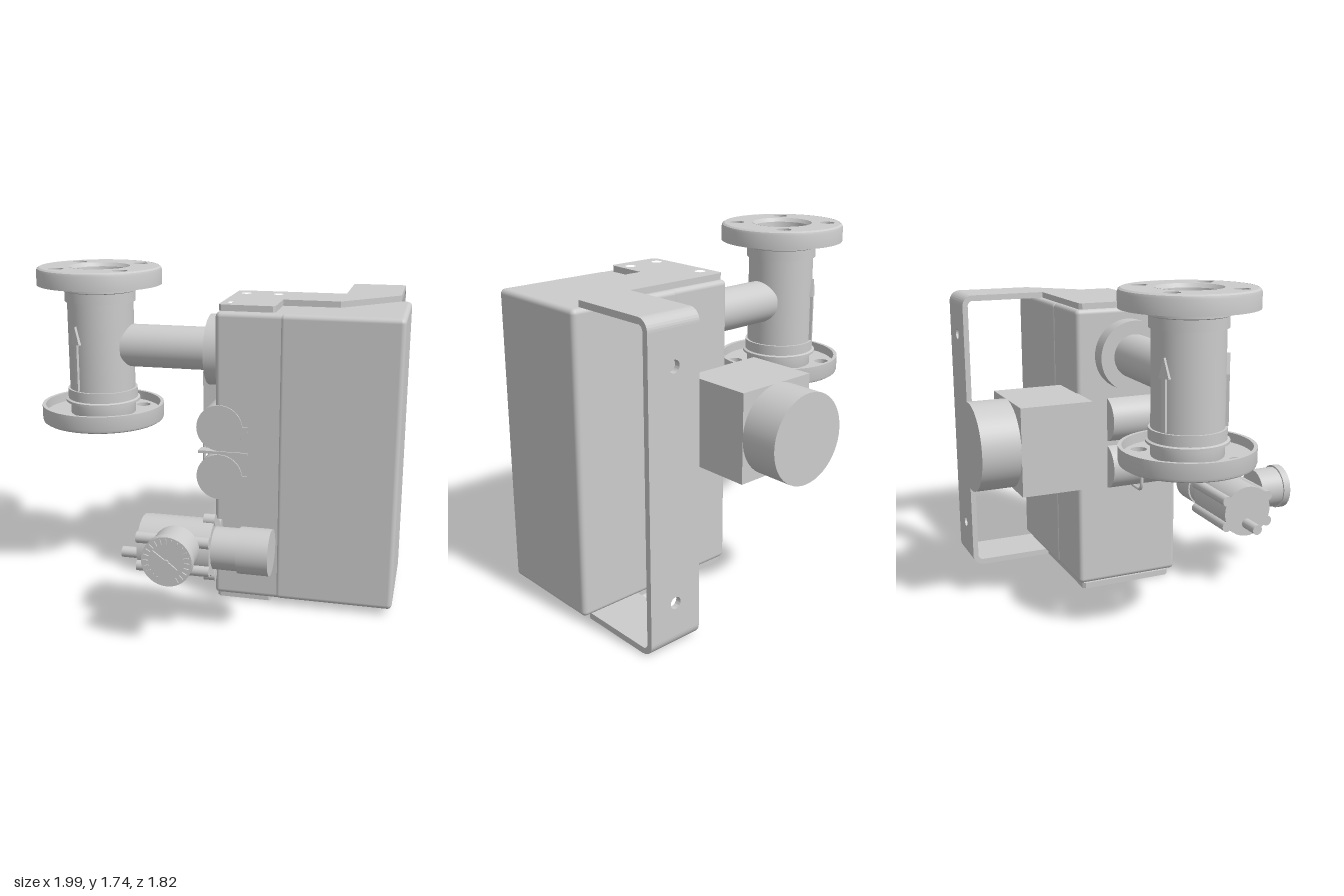
import * as THREE from 'three';
import { toCreasedNormals } from 'three/addons/utils/BufferGeometryUtils.js';
import { RoundedBoxGeometry } from 'three/addons/geometries/RoundedBoxGeometry.js';

const grey = new THREE.MeshStandardMaterial({ color: 0xcccccc });
const V = (x, y, z) => new THREE.Vector3(x, y, z);

function add(parent, name, geo, x = 0, y = 0, z = 0) {
  const m = new THREE.Mesh(geo, grey);
  m.name = name;
  m.position.set(x, y, z);
  parent.add(m);
  return m;
}
function group(parent, name, x = 0, y = 0, z = 0) {
  const g = new THREE.Group();
  g.name = name;
  g.position.set(x, y, z);
  parent.add(g);
  return g;
}
// Cylinder along an axis, running from a to b on that axis
function rod(axis, r, a, b, r2 = r) {
  const g = new THREE.CylinderGeometry(r2, r, b - a, 48);
  g.translate(0, (a + b) / 2, 0);
  if (axis === 'x') g.rotateZ(-Math.PI / 2);
  if (axis === 'z') g.rotateX(Math.PI / 2);
  return g;
}
const lathe = (pts) => toCreasedNormals(
  new THREE.LatheGeometry([...pts, pts[0]].map(([x, y]) => new THREE.Vector2(x, y)), 64), 0.5);
const polygon = (pts) => new THREE.Shape(pts.map(([x, y]) => new THREE.Vector2(x, y)));
function punch(shape, r, centres) {
  for (const [x, y] of centres) {
    shape.holes.push(new THREE.Path().absarc(x, y, r, 0, Math.PI * 2, true));
  }
  return shape;
}
const extrude = (shape, depth) => toCreasedNormals(
  new THREE.ExtrudeGeometry(shape, { depth, bevelEnabled: false, curveSegments: 24 }), 0.5);
// Shape drawn in x and z, thickness going down
const slab = (shape, depth) => extrude(shape, depth).rotateX(Math.PI / 2);

function buildFlowTube(root) {
  const tube = group(root, 'flowTube', -0.663, 1.315, -0.037);
  // Pipe with collars, stepped bowls at both ends and a through bore
  const outer = [[0.18, 0], [0.18, 0.24], [0.192, 0.24], [0.192, 0.295], [0.205, 0.3],
    [0.205, 0.312], [0.18, 0.318], [0.18, 0.385], [0.165, 0.425]];
  const inner = [[0.15, 0.405], [0.145, 0.35], [0.105, 0.34], [0.105, 0.3], [0.06, 0.3]];
  const flip = (pts) => pts.map(([r, h]) => [r, -h]).reverse();
  add(tube, 'pipe', lathe([...flip(outer).slice(0, -1), ...outer, ...inner, ...flip(inner)]));

  // Dished bolt flanges
  for (const end of [0, 1]) {
    const f = group(tube, end ? 'lowerFlange' : 'upperFlange');
    f.rotation.x = end * Math.PI;
    const disc = new THREE.Shape().absarc(0, 0, 0.322, 0, Math.PI * 2);
    punch(disc, 0.165, [[0, 0]]);
    punch(disc, 0.04, [[1, 1], [1, -1], [-1, 1], [-1, -1]].map(([a, b]) => [a * 0.177, b * 0.177]));
    add(f, 'flangeDisc', slab(disc, 0.045), 0, 0.424);
    add(f, 'flangeRim', lathe([[0.318, 0.33], [0.337, 0.33], [0.337, 0.405], [0.333, 0.418],
      [0.322, 0.425], [0.318, 0.42]]));
  }

  // Flow direction arrows
  const arrow = polygon([[-0.01, -0.235], [0.01, -0.235], [0.01, 0.02], [0.03, 0.02],
    [0, 0.118], [-0.03, 0.02], [-0.01, 0.02]]);
  for (const a of [-0.47, -Math.PI + 0.47]) {
    const m = add(tube, 'flowArrow', extrude(arrow, 0.03), Math.sin(a) * 0.165, 0, Math.cos(a) * 0.165);
    m.rotation.y = a;
  }

  // Arm to the housing
  add(root, 'arm', rod('x', 0.116, -0.52, 0), 0, 1.315, -0.037);
  add(root, 'armFlange', rod('x', 0.19, -0.043, 0.07), 0, 1.313, -0.037);
}

function buildHousing(root) {
  const box = (name, x0, x1, z0, z1) => add(root, name,
    new RoundedBoxGeometry(x1 - x0, 1.53, z1 - z0, 4, 0.025), (x0 + x1) / 2, 0.797, (z0 + z1) / 2);
  box('housingBase', 0.047, 0.6, -0.331, 0.255);
  box('housingCover', 0.375, 0.993, -0.337, 0.26);
}

function buildBracket(root) {
  const b = group(root, 'mountingBracket');
  const T = 0.03, R = 0.06, H = 1.595, back = -0.776;
  // Top and bottom plates
  const plan = punch(polygon([[0.07, 0.216], [0.335, 0.216], [0.347, 0.2], [0.347, -0.018],
    [0.645, -0.018], [0.937, -0.307], [0.937, back + R], [0.645, back + R], [0.645, -0.307],
    [0.07, -0.307], [0.055, -0.292], [0.055, 0.2]]), 0.027,
  [[0.115, -0.205], [0.29, -0.205], [0.115, 0.13], [0.29, 0.13]]);
  for (const y of [H, T]) add(b, 'bracketPlate', slab(plan, T + 0.002), 0, y);
  // Back strap with mounting holes
  const strap = punch(polygon([[0.645, R], [0.937, R], [0.937, H - R], [0.645, H - R]]), 0.03,
    [[0.79, 0.23], [0.79, 1.365]]);
  add(b, 'bracketStrap', extrude(strap, T), 0, 0, back);
  // Rounded bends
  const bend = new THREE.Shape().absarc(0, 0, R, 0, Math.PI / 2);
  bend.absarc(0, 0, R - T, Math.PI / 2, 0, true);
  for (const top of [true, false]) {
    const g = extrude(bend, 0.292).rotateY(Math.PI / 2);
    if (!top) g.rotateX(-Math.PI / 2);
    add(b, 'bracketBend', g, 0.645, top ? H - R : R, back + R);
  }
}

function buildSideFittings(root) {
  // Rear block with round cap
  add(root, 'rearBlock', new THREE.BoxGeometry(0.465, 0.465, 0.386), 0.072, 0.887, -0.518);
  add(root, 'rearCap', rod('z', 0.233, -0.915, -0.705), 0.072, 0.887);
  // Pair of side glands half sunk in the housing
  for (const y of [0.96, 0.695]) {
    add(root, 'gland', rod('z', 0.122, -0.16, 0.263), 0.072, y);
    add(root, 'glandTab', new THREE.BoxGeometry(0.03, 0.03, 0.04), 0.205, y, 0.243);
  }
  add(root, 'glandStrip', new THREE.BoxGeometry(0.26, 0.014, 0.06), 0.09, 0.828, 0.233);
  // Thin air line looping from the glands back to the housing
  const line = new THREE.CurvePath();
  const p = [V(0.1, 0.828, -0.01), V(-0.03, 0.828, -0.01), V(-0.075, 0.828, -0.01), V(-0.075, 0.78, -0.01),
    V(-0.075, 0.62, -0.01), V(-0.075, 0.575, -0.01), V(-0.03, 0.575, -0.01), V(0.07, 0.575, -0.01)];
  line.add(new THREE.LineCurve3(p[0], p[1]));
  line.add(new THREE.QuadraticBezierCurve3(p[1], p[2], p[3]));
  line.add(new THREE.LineCurve3(p[3], p[4]));
  line.add(new THREE.QuadraticBezierCurve3(p[4], p[5], p[6]));
  line.add(new THREE.LineCurve3(p[6], p[7]));
  add(root, 'airLine', new THREE.TubeGeometry(line, 60, 0.009, 10));
}

function buildRegulator(root) {
  const r = group(root, 'regulator', 0, 0.427, 0.562);
  add(r, 'regulatorBody', rod('x', 0.143, -0.245, 0.123));
  // Six lobes: short at top and bottom, full length at the sides
  for (let i = 0; i < 6; i++) {
    const a = Math.PI / 2 + i * Math.PI / 3;
    add(r, 'lobe', rod('x', 0.029, i % 3 ? -0.245 : 0.068, 0.125),
      0, Math.sin(a) * 0.147, Math.cos(a) * 0.147);
  }
  add(r, 'knobNeck', rod('x', 0.107, 0.12, 0.255));
  add(r, 'knob', rod('x', 0.117, 0.25, 0.407));
  add(r, 'inletStub', rod('x', 0.028, -0.365, -0.24), 0, -0.07, -0.005);

  // Pressure gauge
  const g = group(root, 'gauge', -0.035, 0.475, 0);
  add(g, 'gaugeStem', rod('z', 0.05, 0.64, 0.73, 0.035));
  add(g, 'gaugeCase', rod('z', 0.115, 0.718, 0.86));
  add(g, 'gaugeBezel', rod('z', 0.125, 0.855, 0.896));
  for (let i = 0; i < 21; i++) {
    const a = THREE.MathUtils.degToRad(-60 + i * 15);
    const t = add(g, 'dialTick', new THREE.BoxGeometry(0.026, 0.005, 0.012),
      Math.cos(a) * 0.102, Math.sin(a) * 0.102, 0.897);
    t.rotation.z = a;
  }
  const needle = polygon([[-0.085, 0], [0, -0.005], [0.02, -0.009], [0.065, -0.009],
    [0.065, 0.009], [0.02, 0.009], [0, 0.005]]);
  add(g, 'dialNeedle', extrude(needle, 0.01), 0, 0, 0.894).rotation.z = -0.7;
  add(g, 'needlePin', rod('z', 0.012, 0.89, 0.904));
}

export function createModel() {
  const model = new THREE.Group();
  model.name = 'flowMeter';
  const root = group(model, 'assembly', 0, 0, 0.006);
  buildFlowTube(root);
  buildHousing(root);
  buildBracket(root);
  buildSideFittings(root);
  buildRegulator(root);
  return model;
}
